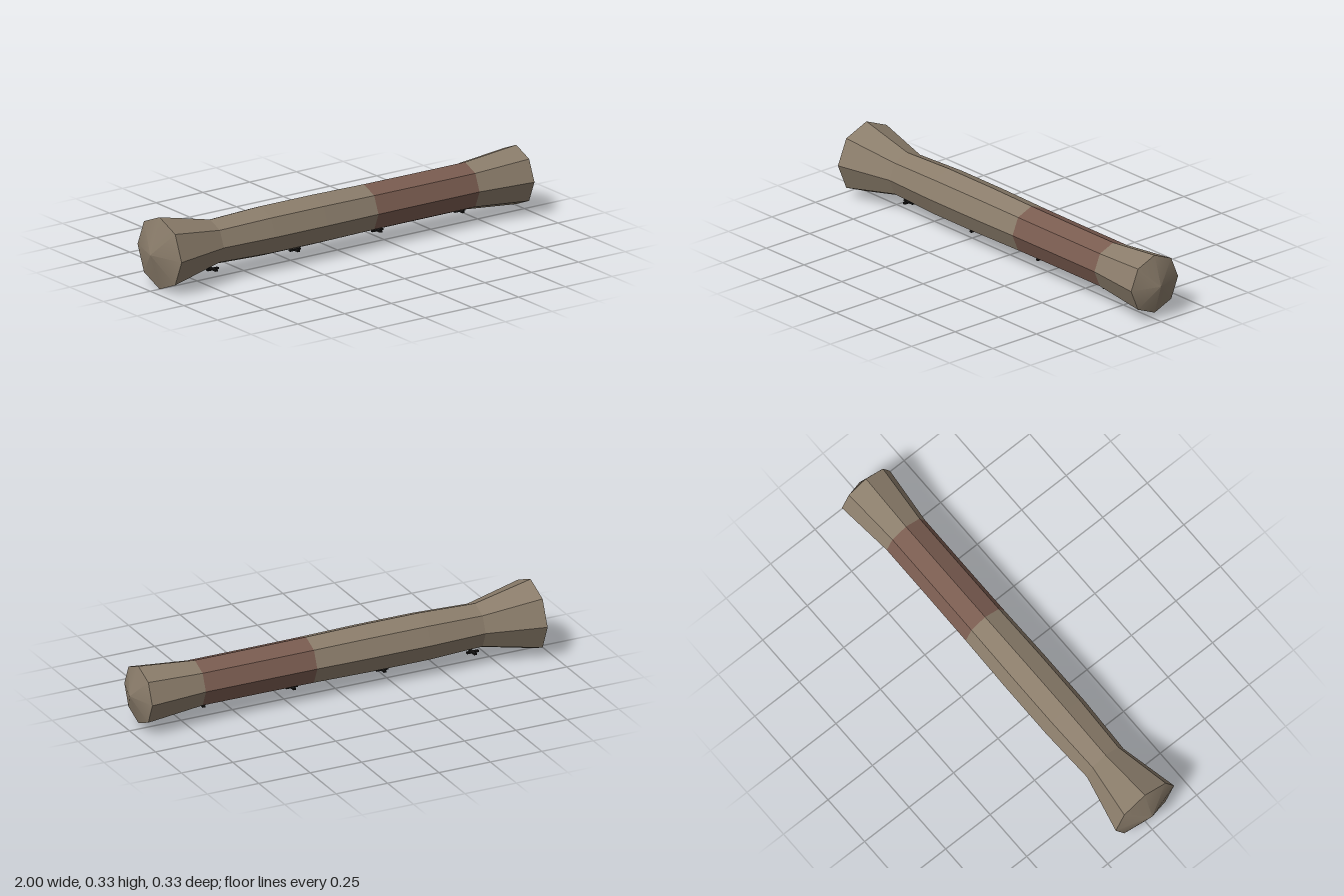
import * as THREE from 'three';

const AXIS_Y = 0.167;
const SIDES = 8;

export function createModel() {
  const group = new THREE.Group();
  const mat = (name, color) => {
    const m = new THREE.MeshStandardMaterial({ color });
    m.name = name;
    return m;
  };
  const tan = mat('tan', 0x8b7d6b);
  const brown = mat('reddish brown', 0x7a5c50);
  const black = mat('black', 0x151413);

  // Octagonal section turned around the x axis; profile is [x, radius]
  const turned = (name, profile, material, faceted) => {
    const points = profile.map(([x, r]) => new THREE.Vector2(r, x));
    let geo = new THREE.LatheGeometry(points, SIDES);
    if (faceted) {
      geo = geo.toNonIndexed();
      geo.computeVertexNormals();
    }
    geo.rotateZ(-Math.PI / 2);
    const mesh = new THREE.Mesh(geo, material);
    mesh.name = name;
    mesh.position.y = AXIS_Y;
    group.add(mesh);
  };

  // Shaft: flared butt, wrapped grip and flared tip
  turned('shaft', [[-0.95, 0.164], [-0.68, 0.103], [-0.41, 0.113], [-0.13, 0.113], [0.142, 0.109]], tan, true);
  turned('grip', [[0.142, 0.109], [0.41, 0.108], [0.683, 0.108]], brown, true);
  turned('tip', [[0.683, 0.108], [0.957, 0.135]], tan, true);

  // Shallow pointed caps
  turned('leftCap', [[0.957, 0.135], [1, 0]], tan, false);
  turned('rightCap', [[-1, 0], [-0.95, 0.164]], tan, false);

  // Four small cross-shaped studs along the underside
  for (let i = 0; i < 4; i++) {
    const cross = new THREE.Group();
    cross.name = 'crossStud' + (i + 1);
    for (const [w, d] of [[0.058, 0.013], [0.013, 0.06]]) {
      const bar = new THREE.Mesh(new THREE.BoxGeometry(w, 0.008, d), black);
      bar.name = 'crossBar';
      cross.add(bar);
    }
    cross.position.set(-0.667 + i * 0.44, 0.042 + i * 0.006, 0);
    group.add(cross);
  }
  return group;
}
